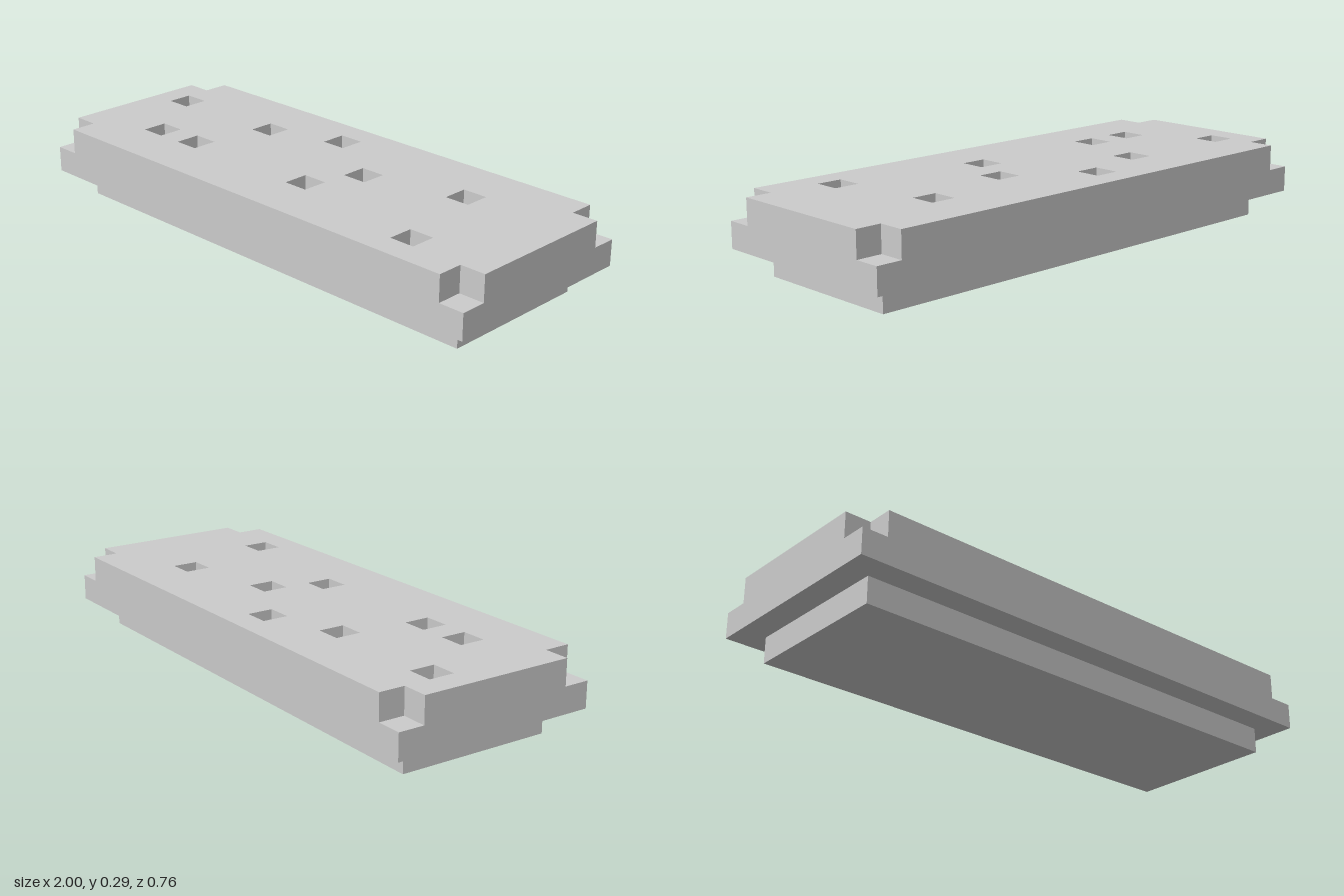
import * as THREE from 'three';

const U = 2 / 21; // grid unit
const W = 21, D = 8; // slab size in units

// Pocket cells as [column, row], counted from the back right corner
const POCKETS = [[1, 2], [3, 5], [5, 5], [6, 2], [9, 1], [11, 5], [12, 3], [16, 2], [17, 6]];

export function createModel() {
  const group = new THREE.Group();
  const material = new THREE.MeshStandardMaterial({ color: 0xcccccc, flatShading: true });

  const add = (name, geometry, y) => {
    const mesh = new THREE.Mesh(geometry, material);
    mesh.name = name;
    mesh.position.y = y * U;
    group.add(mesh);
  };

  // Recessed foot and the full-size lower slab
  add('foot', new THREE.BoxGeometry((W - 2) * U, U, (D - 2) * U), 0.5);
  add('lowerSlab', new THREE.BoxGeometry(W * U, U, D * U), 1.5);

  // Upper slab outline with a square notch at each corner
  const points = (list) => list.map(([x, y]) => new THREE.Vector2(x * U, y * U));
  const w = W / 2, d = D / 2;
  const shape = new THREE.Shape(points([
    [1 - w, -d], [w - 1, -d], [w - 1, 1 - d], [w, 1 - d],
    [w, d - 1], [w - 1, d - 1], [w - 1, d], [1 - w, d],
    [1 - w, d - 1], [-w, d - 1], [-w, 1 - d], [1 - w, 1 - d],
  ]));

  // Square pockets, floored by the lower slab
  for (const [column, row] of POCKETS) {
    const x = column - w, y = d - row;
    shape.holes.push(new THREE.Path(points([[x, y], [x + 1, y], [x + 1, y - 1], [x, y - 1]])));
  }

  const upper = new THREE.ExtrudeGeometry(shape, { depth: U, bevelEnabled: false });
  upper.rotateX(-Math.PI / 2);
  add('upperSlab', upper, 2);

  return group;
}
